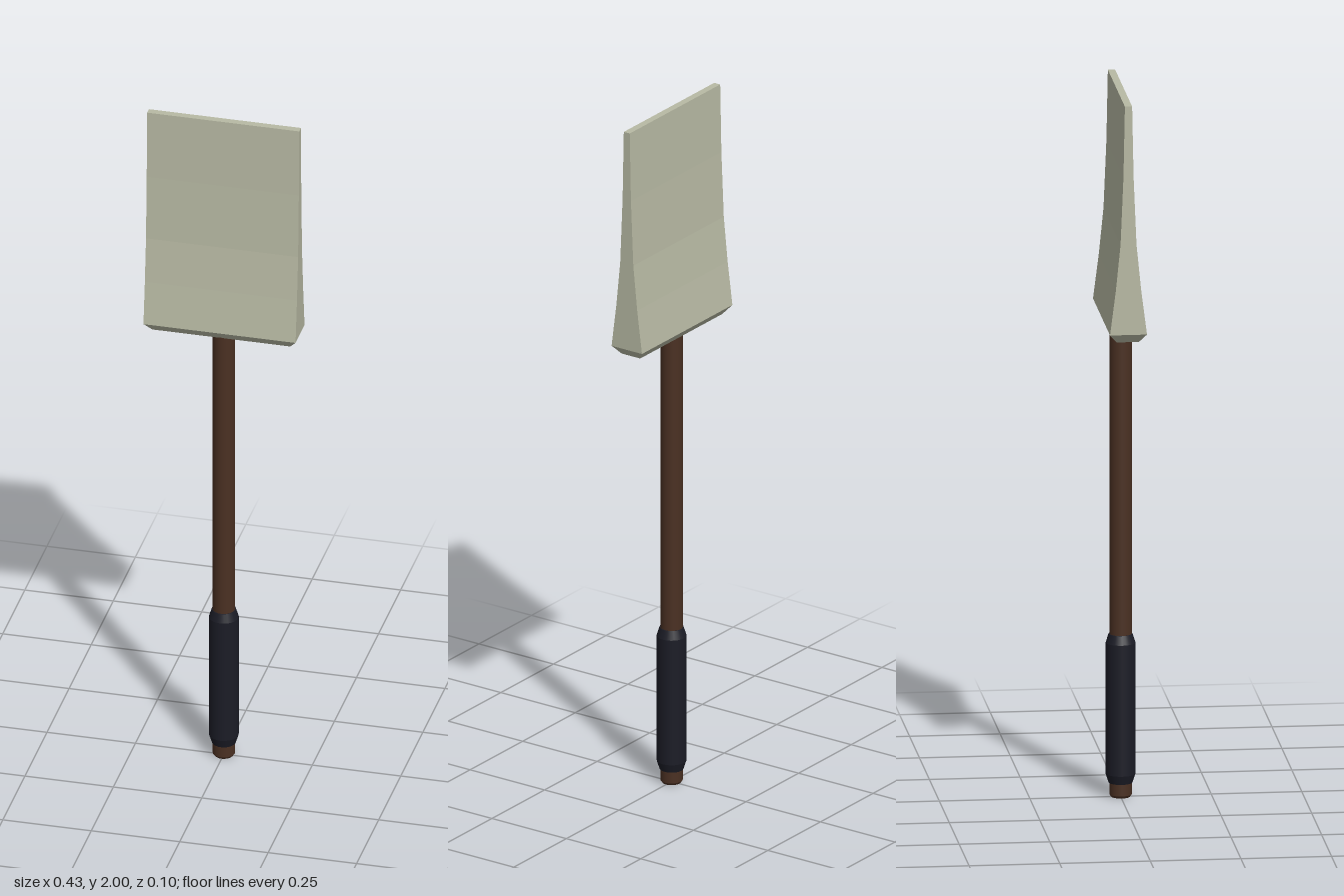
import * as THREE from 'three';

const material = (color, flatShading = false) => new THREE.MeshStandardMaterial({ color, flatShading });

// Stacks rectangular sections [y, halfWidth, halfDepth] into a closed solid
function loftRectangles(sections, zOffset) {
  const rings = sections.map(([y, w, d]) => [
    [w, y, zOffset + d], [w, y, zOffset - d], [-w, y, zOffset - d], [-w, y, zOffset + d],
  ]);
  const positions = [];
  const quad = (a, b, c, d) => positions.push(...a, ...b, ...c, ...a, ...c, ...d);
  for (let i = 0; i < rings.length - 1; i++) {
    for (let k = 0; k < 4; k++) {
      const n = (k + 1) % 4;
      quad(rings[i][k], rings[i][n], rings[i + 1][n], rings[i + 1][k]);
    }
  }
  const top = rings[rings.length - 1];
  quad(...top);
  quad(...[...rings[0]].reverse());
  const geometry = new THREE.BufferGeometry();
  geometry.setAttribute('position', new THREE.Float32BufferAttribute(positions, 3));
  geometry.computeVertexNormals();
  return geometry;
}

// Round part turned from [radius, y] points, bottom to top
function turned(name, profile, color) {
  const points = profile.map(([r, y]) => new THREE.Vector2(r, y));
  const mesh = new THREE.Mesh(new THREE.LatheGeometry(points, 24), material(color));
  mesh.name = name;
  return mesh;
}

export function createModel() {
  const group = new THREE.Group();
  group.name = 'paddle';

  // Wooden shaft with a slightly rounded butt
  group.add(turned('shaft', [
    [0, 0], [0.026, 0], [0.026, 0], [0.031, 0.007], [0.031, 0.007], [0.031, 1.345], [0.031, 1.345], [0, 1.345],
  ], 0x4a3022));

  // Dark grip sleeve with tapered ends
  group.add(turned('grip', [
    [0.03, 0.04], [0.033, 0.04], [0.033, 0.04], [0.041, 0.065], [0.041, 0.065],
    [0.041, 0.435], [0.041, 0.435], [0.033, 0.46], [0.033, 0.46], [0.03, 0.46],
  ], 0x1b1c26));

  // Blade: chamfered base, concave faces thinning to the tip
  const blade = new THREE.Mesh(loftRectangles([
    [1.33, 0.195, 0.031],
    [1.355, 0.215, 0.051],
    [1.48, 0.215, 0.035],
    [1.61, 0.215, 0.022],
    [1.8, 0.215, 0.014],
    [2.0, 0.215, 0.010],
  ], -0.0015), material(0xb8baa4, true));
  blade.name = 'blade';
  group.add(blade);

  return group;
}
